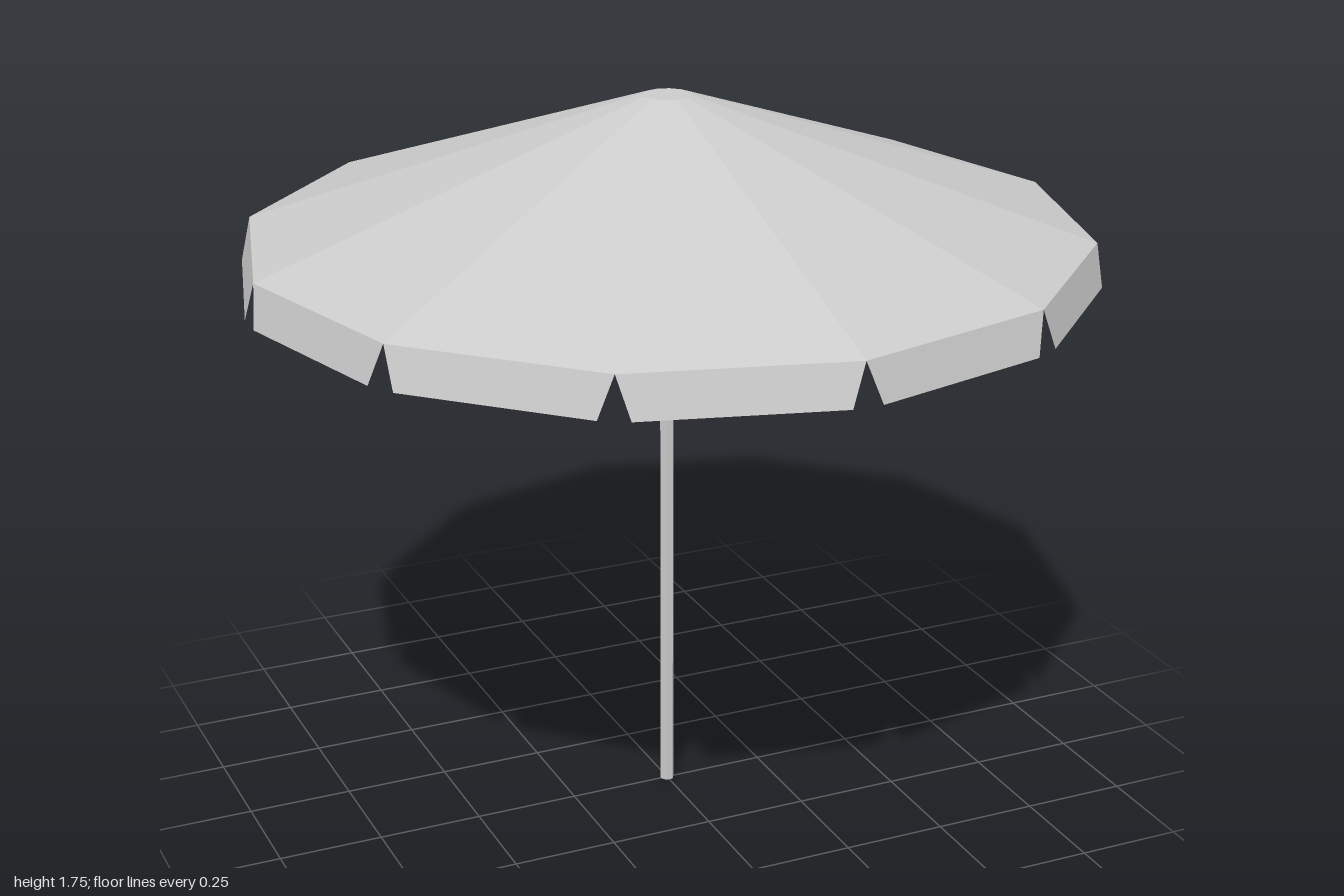
import * as THREE from 'three';

const SIDES = 12;
const RIM_R = 0.985, RIM_Y = 1.425;
const TOP_R = 0.057, TOP_Y = 1.745;
const HEM_Y = 1.33;

const cloth = new THREE.MeshStandardMaterial({ color: 0xcccccc, flatShading: true, side: THREE.DoubleSide });
const metal = new THREE.MeshStandardMaterial({ color: 0xcccccc, flatShading: true });

function addMesh(parent, name, geometry, material) {
  const mesh = new THREE.Mesh(geometry, material);
  mesh.name = name;
  parent.add(mesh);
  return mesh;
}

// One hanging flap: full width at the rim, narrower and flared outward at the hem
function flapGeometry() {
  const half = Math.PI / SIDES;
  const topHalf = RIM_R * Math.sin(half), topZ = RIM_R * Math.cos(half);
  const hemHalf = topHalf - 0.03, hemZ = topZ + 0.023;
  const g = new THREE.BufferGeometry();
  g.setAttribute('position', new THREE.Float32BufferAttribute([
    -topHalf, RIM_Y, topZ, topHalf, RIM_Y, topZ,
    -hemHalf, HEM_Y, hemZ, hemHalf, HEM_Y, hemZ,
  ], 3));
  g.setIndex([0, 2, 1, 2, 3, 1]);
  g.computeVertexNormals();
  return g;
}

// Six-sided pole section standing between two heights
function addPole(parent, name, radius, y0, y1, turn) {
  const g = new THREE.CylinderGeometry(radius, radius, y1 - y0, 6);
  g.rotateY(turn);
  g.translate(0, (y0 + y1) / 2, 0);
  addMesh(parent, name, g, metal);
}

export function createModel() {
  const model = new THREE.Group();
  model.name = 'parasol';

  // Canopy: open twelve-sided cone with a small flat crown
  const canopy = addMesh(model, 'canopy',
    new THREE.CylinderGeometry(TOP_R, RIM_R, TOP_Y - RIM_Y, SIDES, 1, true), cloth);
  canopy.position.y = (TOP_Y + RIM_Y) / 2;

  const crown = addMesh(model, 'crown', new THREE.CircleGeometry(TOP_R, SIDES), cloth);
  crown.rotation.x = -Math.PI / 2;
  crown.position.y = TOP_Y;

  // Valance: one flap per canopy side
  const valance = new THREE.Group();
  valance.name = 'valance';
  const flap = flapGeometry();
  for (let i = 0; i < SIDES; i++) {
    addMesh(valance, 'valanceFlap', flap, cloth).rotation.y = (i + 0.5) * 2 * Math.PI / SIDES;
  }
  model.add(valance);

  // Two-part pole, the slimmer upper tube rising out of the lower one
  addPole(model, 'lowerPole', 0.0175, 0, 1.09, Math.PI / 6);
  addPole(model, 'upperPole', 0.0145, 1.05, TOP_Y - 0.003, 0);

  return model;
}
